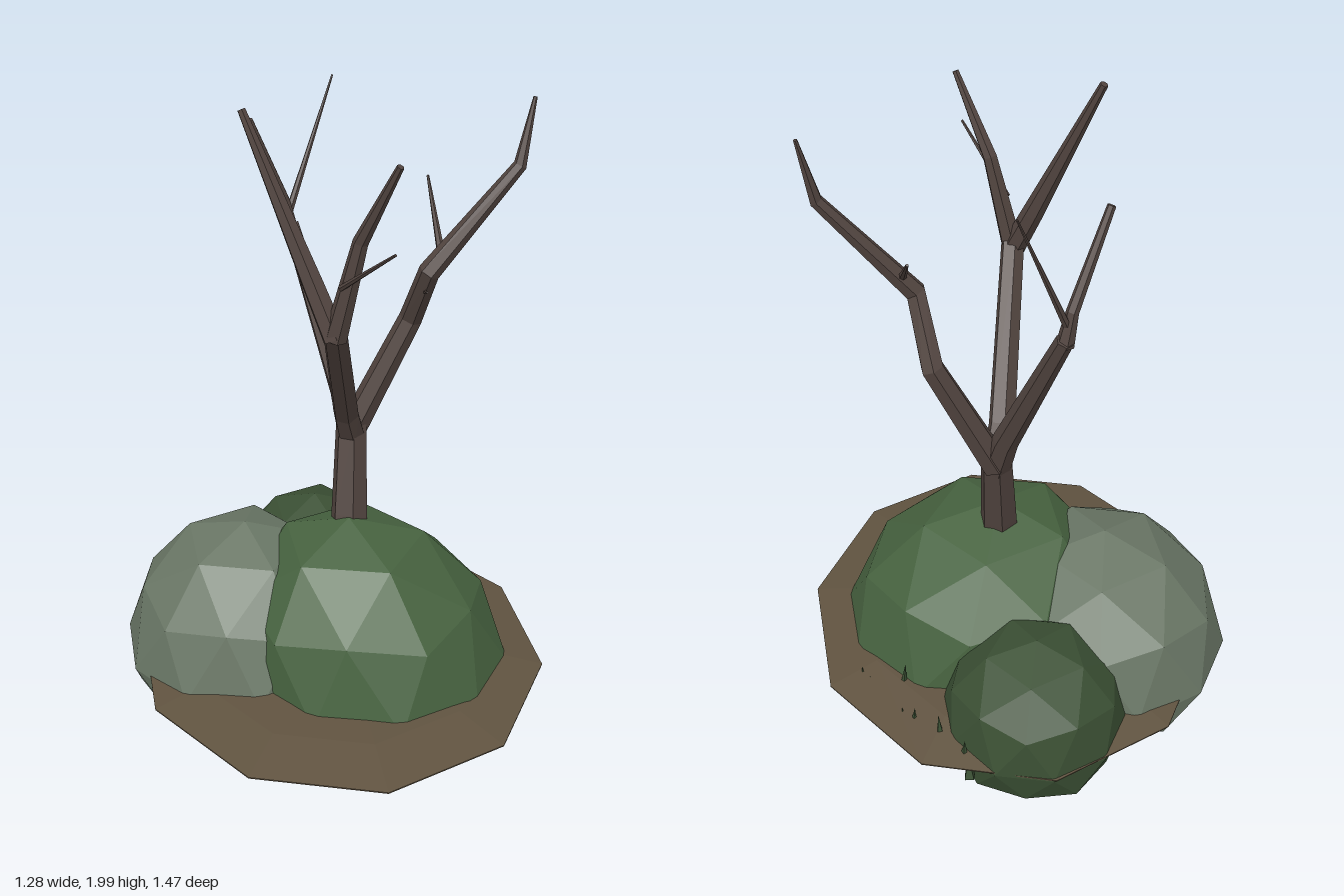
import * as THREE from 'three';

const paint = (color) => new THREE.MeshStandardMaterial({ color, flatShading: true });
const bark = paint(0x51443f);
const earth = paint(0x605340);
const leaf = paint(0x476340);
const darkLeaf = paint(0x3b5034);
const stone = paint(0x6a7766);

function addMesh(parent, name, geometry, material) {
  const mesh = new THREE.Mesh(geometry, material);
  mesh.name = name;
  parent.add(mesh);
  return mesh;
}

// Faceted dome standing on one corner of an icosahedron: ten-sided at its widest,
// squashed below that, pressed flat at the floor, with its top leaning by [x, z]
function mound(center, radii, floor, lean) {
  const geo = new THREE.IcosahedronGeometry(1, 1).rotateZ(-Math.atan(2 / (1 + Math.sqrt(5))));
  const p = geo.attributes.position;
  const v = new THREE.Vector3();
  for (let i = 0; i < p.count; i++) {
    v.fromBufferAttribute(p, i);
    const up = Math.max(v.y, 0);
    const y = center[1] + v.y * (v.y > 0 ? radii[1] : 0.3);
    p.setXYZ(i,
      center[0] + v.x * radii[0] + up * lean[0],
      Math.max(y, floor),
      center[2] + v.z * radii[2] + up * lean[1]);
  }
  geo.computeVertexNormals();
  return geo;
}

// Six-sided tapering limb through a few points; each point is [x, y, z, radius]
function limb(points, sides = 6) {
  const n = points.length - 1;
  const at = points.map((q) => new THREE.Vector3(q[0], q[1], q[2]));
  const turns = at.map((_, i) => {
    const dir = at[Math.min(i + 1, n)].clone().sub(at[Math.max(i - 1, 0)]).normalize();
    return new THREE.Quaternion().setFromUnitVectors(new THREE.Vector3(0, 1, 0), dir);
  });
  const geo = new THREE.CylinderGeometry(1, 1, 1, sides, n);
  const p = geo.attributes.position;
  const v = new THREE.Vector3();
  for (let i = 0; i < p.count; i++) {
    const row = Math.round((p.getY(i) + 0.5) * n);
    v.set(p.getX(i), 0, p.getZ(i)).multiplyScalar(points[row][3]);
    v.applyQuaternion(turns[row]).add(at[row]);
    p.setXYZ(i, v.x, v.y, v.z);
  }
  geo.computeVertexNormals();
  return geo;
}

export function createModel() {
  const model = new THREE.Group();
  model.name = 'treeOnMound';

  // Mounds
  addMesh(model, 'mainBush', mound([0.12, 0.17, 0.045], [0.44, 0.49, 0.44], 0.01, [-0.07, -0.04]), leaf);
  addMesh(model, 'greyBoulder', mound([-0.28, 0.17, -0.135], [0.38, 0.43, 0.415], 0.03, [0.02, 0]), stone);
  addMesh(model, 'backBush', mound([0.025, 0.17, -0.43], [0.29, 0.32, 0.3], 0.045, [0, -0.03]), darkLeaf);

  // Thin ten-sided ground slab, slightly domed
  const slab = [[0, 0.177], [1, 0.177], [1, 0.181], [0.75, 0.208], [0.4, 0.22], [0, 0.22]];
  const ground = addMesh(model, 'ground',
    new THREE.LatheGeometry(slab.map(([r, y]) => new THREE.Vector2(r, y)), 10), earth);
  ground.scale.set(0.65, 1, 0.735);
  ground.position.x = 0.02;

  // Tree: trunk, three main limbs, forks and twigs
  const tree = new THREE.Group();
  tree.name = 'tree';
  model.add(tree);
  const limbs = {
    trunk: [[0.05, 0.4, 0.01, 0.066], [0.062, 0.65, -0.05, 0.059], [0.08, 0.94, -0.115, 0.049]],
    frontLimb: [[0.08, 0.89, -0.11, 0.045], [0.05, 1.0, -0.05, 0.041], [-0.05, 1.42, 0.29, 0.036]],
    frontForkTall: [[-0.05, 1.4, 0.29, 0.036], [-0.1, 1.54, 0.24, 0.032], [-0.265, 1.995, 0.095, 0.012]],
    frontForkShort: [[-0.05, 1.4, 0.29, 0.034], [0.01, 1.69, 0.33, 0.022], [0.09, 1.92, 0.43, 0.01]],
    frontTwig: [[-0.04, 1.56, 0.32, 0.009], [0.06, 1.72, 0.52, 0.004]],
    leftLimb: [[0.08, 0.9, -0.12, 0.045], [0.26, 1.27, -0.11, 0.036], [0.285, 1.46, 0.0, 0.033],
      [0.54, 1.77, 0.01, 0.02], [0.58, 1.96, -0.01, 0.006]],
    leftTwig: [[0.32, 1.52, -0.01, 0.012], [0.33, 1.68, -0.22, 0.004]],
    leftTwigLow: [[0.28, 1.39, -0.02, 0.007], [0.26, 1.43, 0.08, 0.003]],
    backLimb: [[0.08, 0.89, -0.11, 0.045], [0.06, 1.02, -0.16, 0.04], [-0.06, 1.5, -0.38, 0.026]],
    backFork: [[-0.06, 1.48, -0.375, 0.026], [-0.08, 1.58, -0.37, 0.018], [-0.19, 1.85, -0.31, 0.012]],
    backTwig: [[-0.065, 1.54, -0.375, 0.012], [0.09, 1.93, -0.48, 0.003]],
  };
  for (const [name, points] of Object.entries(limbs)) addMesh(tree, name, limb(points), bark);

  // Small grass blades along the back left rim: x, base y, z, height
  const grass = new THREE.Group();
  grass.name = 'grass';
  model.add(grass);
  const blades = [
    [0.54, 0.1, -0.12, 0.08], [0.53, 0.1, -0.2, 0.12], [0.51, 0.1, -0.23, 0.1],
    [0.41, 0.11, -0.27, 0.17], [0.44, 0.1, -0.25, 0.1], [0.43, 0.1, -0.39, 0.11],
    [0.4, 0.11, -0.42, 0.13], [0.33, 0.14, -0.49, 0.12], [0.34, 0.1, -0.5, 0.09],
    [0.27, 0.13, -0.58, 0.11], [0.26, 0.1, -0.6, 0.08],
  ];
  blades.forEach(([x, y, z, h], i) => {
    const blade = addMesh(grass, 'grassBlade', new THREE.ConeGeometry(0.02, h, 4), darkLeaf);
    blade.position.set(x, y + h / 2, z);
    blade.rotation.set(0.1 * Math.sin(i * 2), i, 0.1 * Math.cos(i * 3));
  });

  return model;
}
